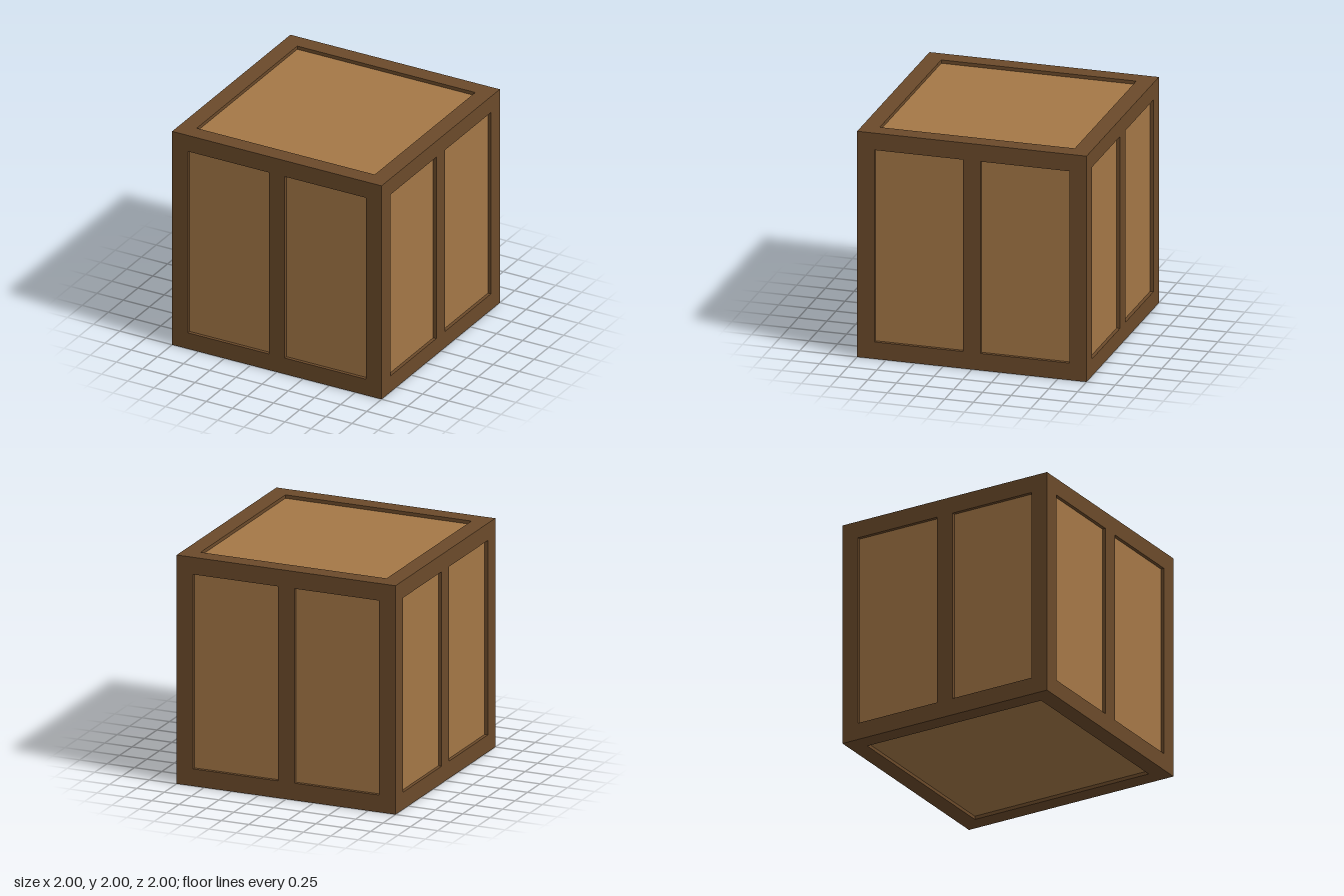
import * as THREE from 'three';

export function createModel() {
  const crate = new THREE.Group();
  crate.name = 'crate';
  const frameMat = new THREE.MeshStandardMaterial({ color: 0x6b4a2a });
  const panelMat = new THREE.MeshStandardMaterial({ color: 0xa47746 });

  const size = 2;
  const beam = 0.15;              // thickness of the frame beams
  const recess = 0.03;            // how far the panels sit behind the frame
  const inner = size - 2 * beam;  // opening between beams
  const edge = (size - beam) / 2; // beam centre line

  function addBox(name, mat, [w, h, d], [x, y, z]) {
    const mesh = new THREE.Mesh(new THREE.BoxGeometry(w, h, d), mat);
    mesh.name = name;
    mesh.position.set(x, y + size / 2, z);
    crate.add(mesh);
  }

  // Panelled body, inset on all six sides
  const body = size - 2 * recess;
  addBox('panels', panelMat, [body, body, body], [0, 0, 0]);

  for (const a of [-1, 1]) {
    for (const b of [-1, 1]) {
      // Corner posts, full height
      addBox('cornerPost', frameMat, [beam, size, beam], [a * edge, 0, b * edge]);
      // Top and bottom rails between the posts
      addBox('crossRail', frameMat, [inner, beam, beam], [0, a * edge, b * edge]);
      addBox('sideRail', frameMat, [beam, beam, inner], [a * edge, b * edge, 0]);
    }
    // Middle uprights on the four sides
    addBox('middleUpright', frameMat, [beam, inner, beam], [0, 0, a * edge]);
    addBox('middleUpright', frameMat, [beam, inner, beam], [a * edge, 0, 0]);
  }

  return crate;
}
